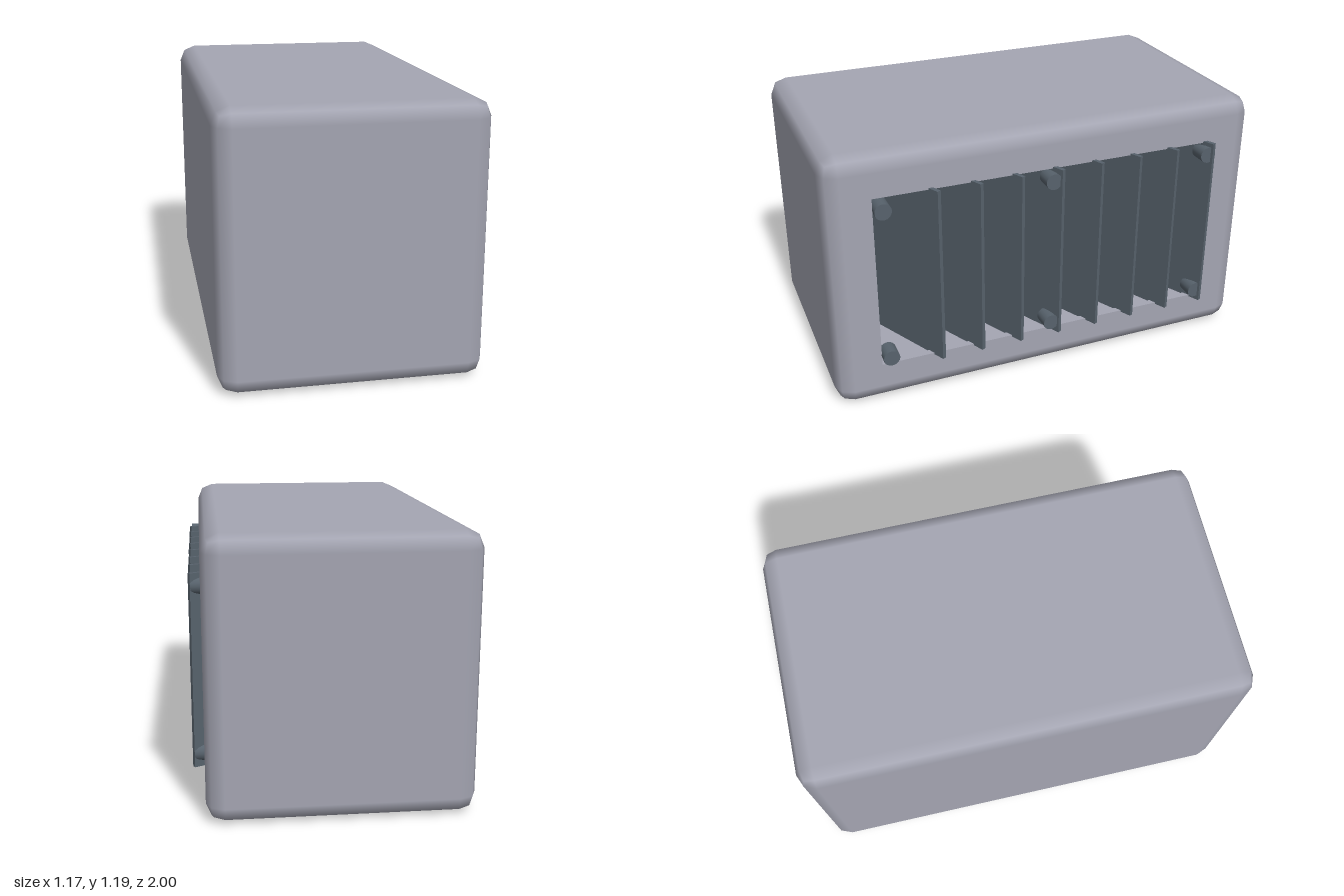
import * as THREE from 'three';
import { RoundedBoxGeometry } from 'three/addons/geometries/RoundedBoxGeometry.js';

const W = 1.125, H = 1.19, D = 2, R = 0.077;
const CX = -0.027;                 // body is offset so the louvres fit
const FACE = CX + W / 2;           // x of the vented side

const casing = new THREE.MeshStandardMaterial({ color: 0xa4a5b2, side: THREE.DoubleSide });
casing.name = 'casing grey';
const metal = new THREE.MeshStandardMaterial({ color: 0x57626c });
metal.name = 'dark metal';

function add(group, name, geometry, material, x = 0, y = 0, z = 0) {
  const mesh = new THREE.Mesh(geometry, material);
  mesh.name = name;
  mesh.position.set(x, y, z);
  group.add(mesh);
  return mesh;
}

// Rounded shell without the flat panel on its +x side
function shellGeometry() {
  const box = new RoundedBoxGeometry(W, H, D, 1, R);
  const src = box.index ? box.toNonIndexed() : box;
  const p = src.attributes.position, n = src.attributes.normal;
  const pos = [], nor = [];
  for (let i = 0; i < p.count; i += 3) {
    const flat = [0, 1, 2].every(k => p.getX(i + k) > W / 2 - 1e-4);
    if (flat) continue;
    for (let k = i; k < i + 3; k++) {
      pos.push(p.getX(k), p.getY(k), p.getZ(k));
      nor.push(n.getX(k), n.getY(k), n.getZ(k));
    }
  }
  const g = new THREE.BufferGeometry();
  g.setAttribute('position', new THREE.Float32BufferAttribute(pos, 3));
  g.setAttribute('normal', new THREE.Float32BufferAttribute(nor, 3));
  return g;
}

function rectangle(path, x0, x1, y0, y1) {
  path.moveTo(x0, y0);
  path.lineTo(x1, y0);
  path.lineTo(x1, y1);
  path.lineTo(x0, y1);
  path.closePath();
  return path;
}

export function createModel() {
  const model = new THREE.Group();
  model.name = 'ventUnit';

  add(model, 'casing', shellGeometry(), casing, CX, H / 2, 0);

  // Side panel with the vent opening
  const t = 0.03;
  const panel = rectangle(new THREE.Shape(), -D / 2 + R, D / 2 - R, R, H - R);
  panel.holes.push(rectangle(new THREE.Path(), -0.795, 0.795, 0.19, 1.0));
  const panelGeo = new THREE.ExtrudeGeometry(panel, { depth: t, bevelEnabled: false });
  panelGeo.rotateY(Math.PI / 2);
  add(model, 'ventPanel', panelGeo, casing, FACE - t, 0, 0);

  // Slanted louvres
  const angle = Math.atan(0.5), length = 0.65;
  const slat = new THREE.BoxGeometry(length, 0.825, 0.018);
  for (let i = 0; i < 8; i++) {
    const x = 0.58 - Math.cos(angle) * length / 2;
    const z = 0.523 - i * 0.187 + Math.sin(angle) * length / 2;
    add(model, 'louvre', slat, metal, x, 0.595, z).rotation.y = angle;
  }

  // Rods carrying the louvres inside the casing
  const rod = new THREE.CylinderGeometry(0.06, 0.06, 1.64, 20);
  rod.rotateX(Math.PI / 2);
  for (const y of [0.41, 0.79]) add(model, 'innerRod', rod, metal, 0.09, y, 0);

  // Bolts around the opening
  const bolt = new THREE.CylinderGeometry(0.037, 0.037, 0.075, 16);
  bolt.rotateZ(Math.PI / 2);
  for (const z of [-0.76, 0.003, 0.76])
    for (const y of [0.24, 0.953]) add(model, 'bolt', bolt, metal, 0.537, y, z);

  return model;
}
